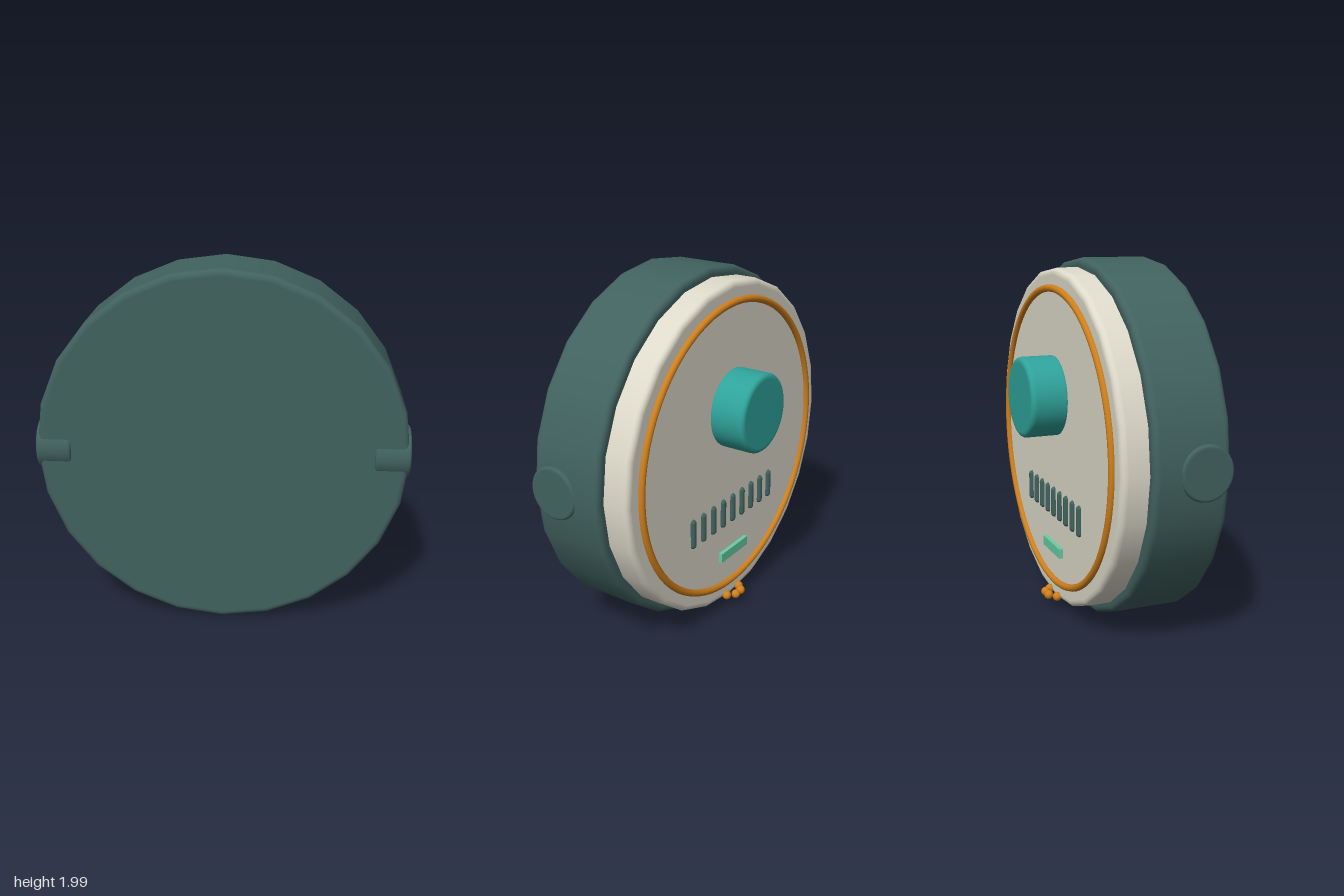
import * as THREE from 'three';

const CY = 1.003; // height of the main axis
const mat = (color) => new THREE.MeshStandardMaterial({ color });
const shell = mat(0x41625f), cream = mat(0xdedacb), teal = mat(0x2fa39b);
const orange = mat(0xd0801c), mint = mat(0x68cda5);

// Solid disc with rounded rims, axis along z from z0 to z1
function roundedDisc(r, z0, z1, bevel, sides) {
  const pts = [new THREE.Vector2(0, z0), new THREE.Vector2(r - bevel - 0.006, z0)];
  const arc = (cz, start) => {
    for (let i = 0; i <= 4; i++) {
      const a = start + (i / 4) * Math.PI / 2;
      pts.push(new THREE.Vector2(r - bevel + Math.cos(a) * bevel, cz + Math.sin(a) * bevel));
    }
  };
  arc(z0 + bevel, -Math.PI / 2);
  pts.push(new THREE.Vector2(r, z0 + bevel + 0.006), new THREE.Vector2(r, z1 - bevel - 0.006));
  arc(z1 - bevel, 0);
  pts.push(new THREE.Vector2(r - bevel - 0.006, z1), new THREE.Vector2(0, z1));
  return new THREE.LatheGeometry(pts, sides).rotateX(Math.PI / 2);
}

export function createModel() {
  const model = new THREE.Group();
  const add = (name, geometry, material, x, y, z, parent = model) => {
    const mesh = new THREE.Mesh(geometry, material);
    mesh.name = name;
    mesh.position.set(x, y, z);
    parent.add(mesh);
    return mesh;
  };
  const group = (name) => {
    const g = new THREE.Group();
    g.name = name;
    model.add(g);
    return g;
  };

  // Main drum and the pale face plate on its back
  add('body', roundedDisc(0.997, -0.045, 0.37, 0.03, 24), shell, 0, CY, 0);
  add('facePlate', roundedDisc(0.945, -0.19, 0, 0.03, 24), cream, 0, CY, 0);
  add('trimRing', new THREE.TorusGeometry(0.835, 0.02, 10, 72), orange, 0, CY, -0.195);
  add('knob', roundedDisc(0.222, -0.39, -0.17, 0.025, 40), teal, 0, 1.25, 0);

  // Round pods set into both sides
  for (const side of [1, -1]) {
    const pod = add(side > 0 ? 'leftPod' : 'rightPod',
      roundedDisc(0.145, 0.81, 1, 0.015, 32), shell, 0, CY, 0.24);
    pod.rotation.y = side * Math.PI / 2;
  }

  // Row of vertical grille bars
  const grille = group('grille');
  const bar = new THREE.CapsuleGeometry(0.02, 0.135, 6, 14);
  for (let i = -4; i <= 4; i++) add('grilleBar', bar, shell, i * 0.098, 0.635, -0.19, grille);

  // Indicator light
  add('indicatorLight', new THREE.BoxGeometry(0.27, 0.055, 0.04), mint, 0, 0.367, -0.193);

  // Small ring of beads at the bottom edge
  const beads = group('beadLoop');
  const bead = new THREE.SphereGeometry(0.026, 16, 12);
  for (let i = 0; i < 8; i++) {
    const a = (i + 0.5) * Math.PI / 4;
    add('bead', bead, orange, Math.cos(a) * 0.07, 0.085 - Math.sin(a) * 0.004,
      -0.175 + Math.sin(a) * 0.07, beads);
  }
  return model;
}
